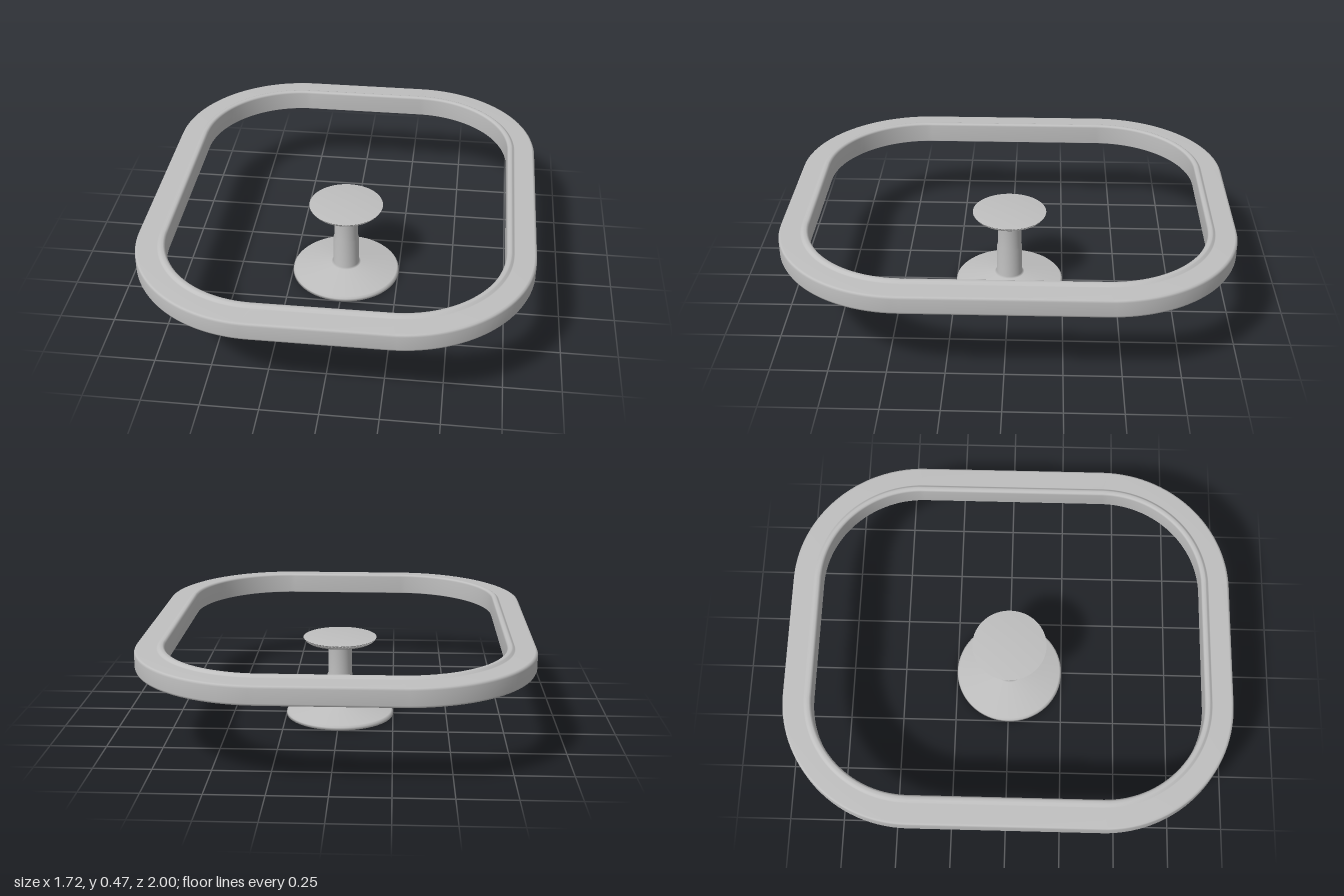
import * as THREE from 'three';

// Sweep a closed section of [inset, height] points around a rounded rectangle
function roundedRing(section, straightX, straightZ, radius, cornerSteps) {
  const corners = [[1, 1], [-1, 1], [-1, -1], [1, -1]];
  const positions = [], indices = [];
  corners.forEach(([sx, sz], c) => {
    for (let k = 0; k <= cornerSteps; k++) {
      const a = (c + k / cornerSteps) * Math.PI / 2;
      for (const [inset, y] of section) {
        const r = radius - inset;
        positions.push(sx * straightX + r * Math.cos(a), y, sz * straightZ + r * Math.sin(a));
      }
    }
  });
  const n = section.length, rows = 4 * (cornerSteps + 1);
  for (let i = 0; i < rows; i++) {
    const i2 = (i + 1) % rows;
    for (let j = 0; j < n; j++) {
      const j2 = (j + 1) % n;
      const a = i * n + j, b = i * n + j2, c = i2 * n + j, d = i2 * n + j2;
      indices.push(a, b, c, b, d, c);
    }
  }
  const geometry = new THREE.BufferGeometry();
  geometry.setAttribute('position', new THREE.Float32BufferAttribute(positions, 3));
  geometry.setIndex(indices);
  geometry.computeVertexNormals();
  return geometry;
}

export function createModel() {
  const model = new THREE.Group();
  model.name = 'pedestalTableFrame';
  const grey = new THREE.MeshStandardMaterial({ color: 0xbfbfbf });
  grey.name = 'light grey';

  // Rim with softened edges and a small raised bead along its inner edge
  const rimSection = [
    [0.012, 0.37], [0.004, 0.373], [0, 0.382],
    [0, 0.443], [0.004, 0.452], [0.012, 0.455],
    [0.094, 0.456], [0.098, 0.458], [0.105, 0.465], [0.11, 0.467],
    [0.12, 0.467], [0.126, 0.464], [0.13, 0.457],
    [0.13, 0.373], [0.127, 0.37],
  ];
  const rim = new THREE.Mesh(roundedRing(rimSection, 0.28, 0.42, 0.58, 28), grey);
  rim.name = 'tableRim';
  model.add(rim);

  // Pedestal: wide foot, slim column and flared mounting plate
  const profile = [
    [0, 0], [0.252, 0], [0.25, 0.012], [0.242, 0.02],
    [0.07, 0.047], [0.06, 0.052], [0.059, 0.19], [0.055, 0.2],
    [0.055, 0.33], [0.064, 0.336], [0.15, 0.352], [0.16, 0.358],
    [0.17, 0.372], [0, 0.372],
  ].map(([r, y]) => new THREE.Vector2(r, y));
  const pedestal = new THREE.Mesh(new THREE.LatheGeometry(profile, 64), grey);
  pedestal.name = 'pedestal';
  model.add(pedestal);

  return model;
}
